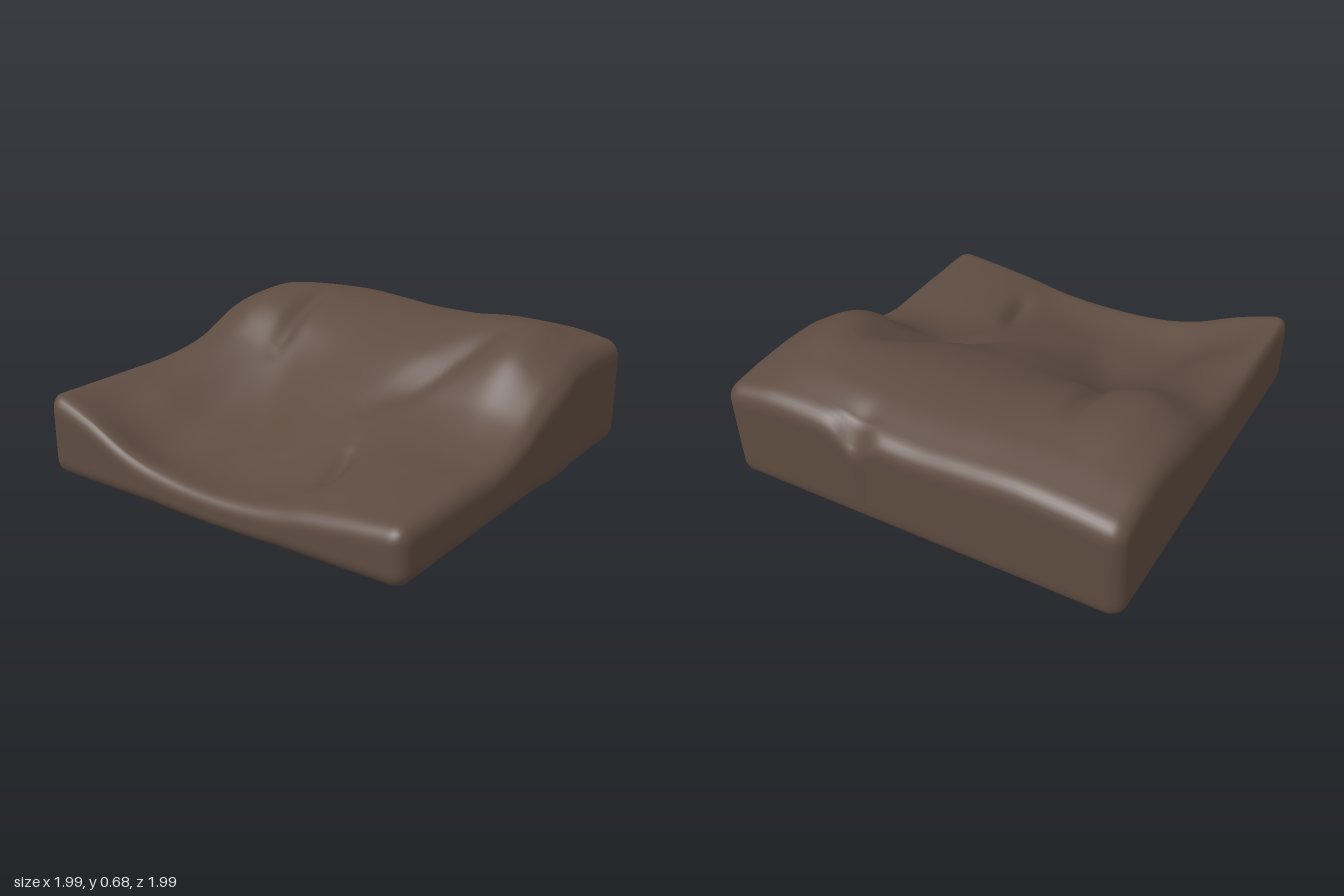
import * as THREE from 'three';
import { mergeVertices } from 'three/addons/utils/BufferGeometryUtils.js';

// Ground heights: rows run from back (z = -1) to front, columns from x = -1 to x = 1
const HEIGHTS = [
  [0.43, 0.43, 0.43, 0.43, 0.46, 0.55, 0.60, 0.61, 0.56],
  [0.36, 0.31, 0.36, 0.42, 0.51, 0.65, 0.68, 0.64, 0.58],
  [0.25, 0.18, 0.22, 0.30, 0.43, 0.60, 0.67, 0.65, 0.59],
  [0.19, 0.16, 0.20, 0.29, 0.42, 0.56, 0.64, 0.64, 0.57],
  [0.17, 0.16, 0.23, 0.32, 0.44, 0.55, 0.62, 0.62, 0.55],
  [0.18, 0.19, 0.25, 0.33, 0.43, 0.56, 0.63, 0.62, 0.56],
  [0.22, 0.25, 0.28, 0.31, 0.39, 0.55, 0.65, 0.64, 0.57],
  [0.25, 0.27, 0.28, 0.29, 0.39, 0.60, 0.67, 0.63, 0.57],
  [0.27, 0.27, 0.27, 0.27, 0.34, 0.48, 0.55, 0.56, 0.54],
];

// Gullies: start, end, width, depth
const GULLIES = [
  { a: [0.08, -0.5], b: [0.55, -0.52], w: 0.05, d: 0.045 },
  { a: [0.2, -0.5], b: [-0.6, -0.15], w: 0.12, d: 0.03 },
  { a: [-0.15, 0.24], b: [0.5, 0.61], w: 0.07, d: 0.04 },
  { a: [-0.74, 0.41], b: [-0.4, 0.34], w: 0.05, d: 0.045 },
  { a: [0.92, 0.29], b: [1.08, 0.29], w: 0.08, d: 0.085 },
];

const clamp = THREE.MathUtils.clamp;

function cubic(p0, p1, p2, p3, t) {
  return p1 + 0.5 * t * (p2 - p0 + t * (2 * p0 - 5 * p1 + 4 * p2 - p3 + t * (3 * (p1 - p2) + p3 - p0)));
}

function sample(list, u) {
  const i = Math.min(Math.floor(u), list.length - 2);
  const at = (k) => list[clamp(k, 0, list.length - 1)];
  return cubic(at(i - 1), at(i), at(i + 1), at(i + 2), u - i);
}

function groundHeight(x, z) {
  const u = clamp((x + 1) * 4, 0, 8);
  const v = clamp((z + 1) * 4, 0, 8);
  let h = sample(HEIGHTS.map((row) => sample(row, u)), v);
  for (const { a, b, w, d } of GULLIES) {
    const dx = b[0] - a[0], dz = b[1] - a[1];
    const t = clamp(((x - a[0]) * dx + (z - a[1]) * dz) / (dx * dx + dz * dz), 0, 1);
    const dist = Math.hypot(x - a[0] - t * dx, z - a[1] - t * dz);
    const taper = 0.25 + 3 * t * (1 - t);
    h -= d * taper * Math.exp(-((dist / w) ** 2));
  }
  return h;
}

// A finely divided block whose top follows the ground and whose edges are rounded
function terrainGeometry() {
  let geo = new THREE.BoxGeometry(2, 1, 2, 100, 16, 100);
  geo.deleteAttribute('normal');
  geo.deleteAttribute('uv');
  geo = mergeVertices(geo, 1e-4);
  const pos = geo.attributes.position;
  const p = new THREE.Vector3(), core = new THREE.Vector3();
  for (let i = 0; i < pos.count; i++) {
    p.fromBufferAttribute(pos, i);
    const base = 0.028 + 0.013 * p.x - 0.012 * p.z;
    const top = groundHeight(p.x, p.z);
    const t = p.y + 0.5;
    const r = Math.min(0.075, (top - base) * 0.4);
    p.y = base + t * (top - base);
    core.set(clamp(p.x, r - 1, 1 - r), clamp(p.y, base + r, top - r), clamp(p.z, r - 1, 1 - r));
    p.sub(core);
    if (p.lengthSq() > 0) p.setLength(r);
    p.add(core);
    // Slightly uneven walls: the right one leans out, the front one bulges below the crest
    const { x, z } = p;
    const bulge = Math.exp(-(((x - 0.32) / 0.15) ** 2));
    p.x = x * (x > 0 ? 0.974 + 0.022 * t : 0.996 - 0.012 * Math.max(0, z));
    p.z = z * (z > 0 ? 0.973 + 0.012 * x + 0.018 * bulge : 0.987 + 0.012 * bulge * t);
    pos.setXYZ(i, p.x, p.y, p.z);
  }
  geo.computeVertexNormals();
  return geo;
}

export function createModel() {
  const model = new THREE.Group();
  model.name = 'terrainBlock';
  const soil = new THREE.MeshStandardMaterial({ color: 0x5e4c41 });
  soil.name = 'brown soil';
  const ground = new THREE.Mesh(terrainGeometry(), soil);
  ground.name = 'ground';
  model.add(ground);
  return model;
}
